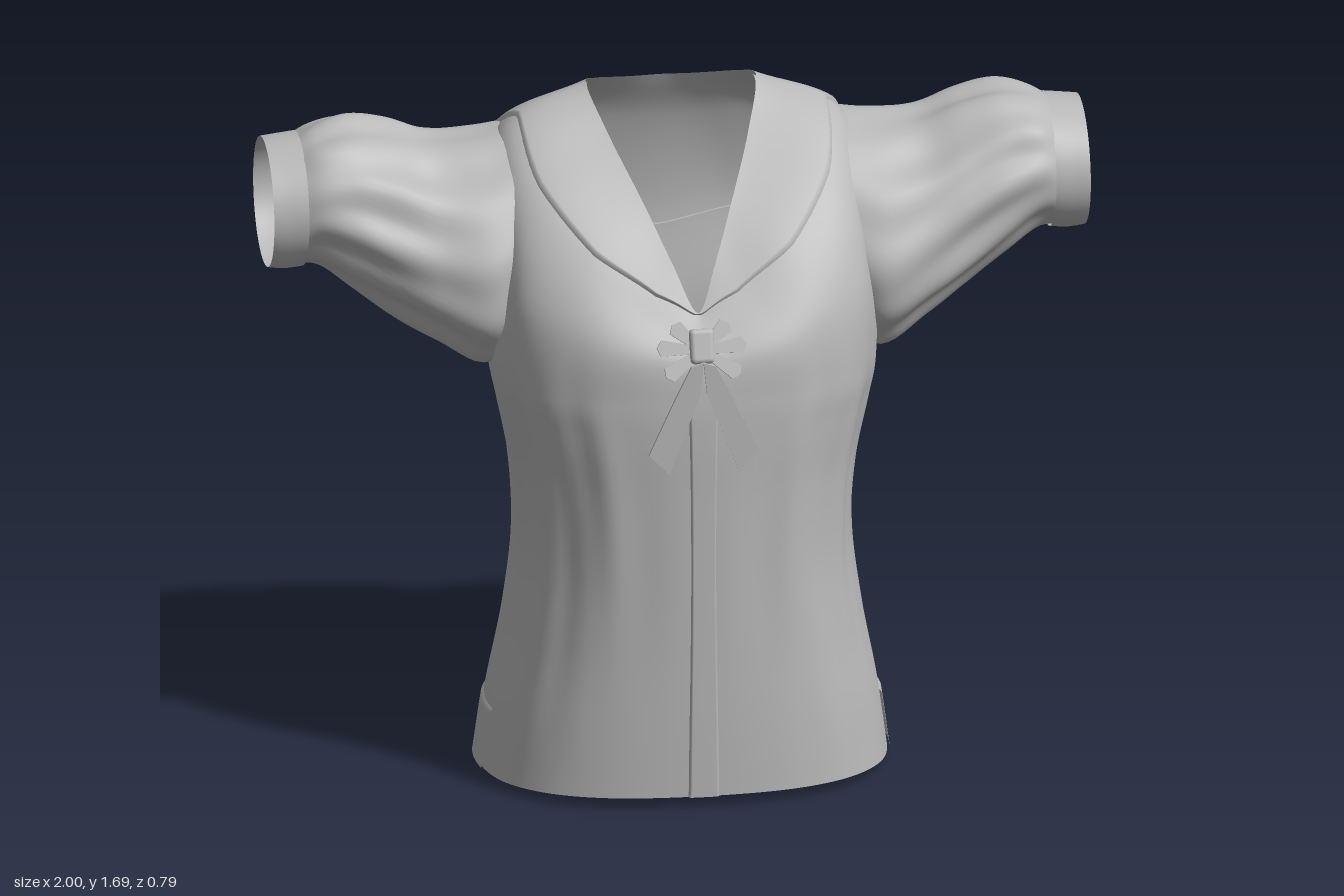
import * as THREE from 'three';
import { mergeVertices } from 'three/addons/utils/BufferGeometryUtils.js';
import { RoundedBoxGeometry } from 'three/addons/geometries/RoundedBoxGeometry.js';

const V = (x, y, z) => new THREE.Vector3(x, y, z);

// Smooth surface through closed rings of points: u runs round a ring, v from ring to ring
function loft(rings) {
  const curves = rings.map(r => new THREE.CatmullRomCurve3(r, true));
  const cache = new Map();
  return (u, v) => {
    const k = (((u % 1) + 1) % 1).toFixed(5);
    if (!cache.has(k)) cache.set(k, new THREE.CatmullRomCurve3(curves.map(c => c.getPoint(+k % 1))));
    return cache.get(k).getPoint(Math.min(1, Math.max(0, v)));
  };
}

// Mesh part of a lofted surface, pushed out along its normal
function patch(S, { u0 = 0, u1 = 1, v0 = () => 0, v1 = () => 1, nu, nv, offset = () => 0 }) {
  const pos = [], idx = [], e = 0.004;
  for (let j = 0; j <= nv; j++) for (let i = 0; i <= nu; i++) {
    const u = u0 + (u1 - u0) * i / nu, v = v0(u) + (v1(u) - v0(u)) * j / nv;
    const du = S(u + e, v).sub(S(u - e, v)), dv = S(u, v + e).sub(S(u, v - e));
    const p = S(u, v).addScaledVector(du.cross(dv).normalize(), offset(u, v));
    pos.push(p.x, p.y, p.z);
    if (i < nu && j < nv) {
      const a = j * (nu + 1) + i, b = a + 1, d = a + nu + 1, c = d + 1;
      idx.push(a, b, c, a, c, d);
    }
  }
  let g = new THREE.BufferGeometry();
  g.setAttribute('position', new THREE.Float32BufferAttribute(pos, 3));
  g.setIndex(idx);
  g = mergeVertices(g, 1e-5);
  g.computeVertexNormals();
  return g;
}

// Full ring from its left half, listed front centre to back centre
const mirrorRing = half => {
  const p = half.map(a => V(...a));
  return [...p, ...p.slice(1, -1).reverse().map(q => V(-q.x, q.y, q.z))];
};

function bodySurface() {
  // height, half width, front z, back z
  const lower = [
    [0.025, 0.5, 0.39, -0.365], [0.2, 0.475, 0.39, -0.33], [0.4, 0.435, 0.388, -0.31],
    [0.6, 0.41, 0.387, -0.315], [0.8, 0.42, 0.386, -0.33], [0.95, 0.45, 0.386, -0.345],
    [1.05, 0.47, 0.382, -0.355],
  ].map(([y, w, zf, zb], row) => mirrorRing(Array.from({ length: 9 }, (_, k) => {
    const a = k * Math.PI / 8, c = Math.cos(a), n = 2 / (c > 0 ? 2.5 : 2.2);
    const x = k % 8 ? w * Math.sin(a) ** n : 0;
    return [x, y + (row ? 0 : 0.015 * c), k === 4 ? 0 : (c > 0 ? zf : zb) * Math.abs(c) ** n];
  })));
  // chest, yoke and neckline
  const upper = [
    [[0, 1.15, 0.365], [0.19, 1.18, 0.35], [0.33, 1.24, 0.28], [0.43, 1.28, 0.18], [0.47, 1.3, -0.06],
      [0.455, 1.3, -0.28], [0.365, 1.3, -0.355], [0.19, 1.3, -0.385], [0, 1.3, -0.38]],
    [[0, 1.2, 0.33], [0.12, 1.27, 0.29], [0.25, 1.38, 0.22], [0.37, 1.5, 0.08], [0.42, 1.595, -0.12],
      [0.41, 1.53, -0.285], [0.29, 1.53, -0.335], [0.14, 1.53, -0.345], [0, 1.53, -0.345]],
    [[0, 1.25, 0.29], [0.055, 1.36, 0.22], [0.11, 1.48, 0.12], [0.17, 1.6, -0.02], [0.205, 1.69, -0.15],
      [0.17, 1.67, -0.23], [0.12, 1.655, -0.27], [0.06, 1.65, -0.285], [0, 1.65, -0.29]],
  ].map(mirrorRing);
  return loft([...lower, ...upper]);
}

// Sleeve rings: x, bottom, top, back z, front z, lean; the underarm is pinched and sits further forward
function tubeSurface(side, sections) {
  const n = 24;
  return loft(sections.map(([x, y0, y1, z0, z1, lean]) => Array.from({ length: n }, (_, k) => {
    const a = k / n * Math.PI * 2, s = -side * Math.sin(a);
    const pinch = s < 0 ? 1 - 3 * lean * s * s : 1;
    return V(side * x, (y0 + y1) / 2 + (y1 - y0) / 2 * s, (z0 + z1) / 2 + (z1 - z0) / 2 * Math.cos(a) * pinch - lean * s);
  })));
}

export function createModel() {
  const model = new THREE.Group();
  model.name = 'blouse';
  const cloth = new THREE.MeshStandardMaterial({ color: 0xb8b8b8, side: THREE.DoubleSide });
  cloth.name = 'grey cloth';
  const add = (name, geometry, parent = model) => {
    const m = new THREE.Mesh(geometry, cloth);
    m.name = name;
    parent.add(m);
    return m;
  };

  // Body with soft vertical folds
  const body = bodySurface();
  const folds = (u, v) => {
    const h = 1 - Math.abs(1 - 2 * u), swell = Math.sin(Math.PI * Math.min(1, v / 0.85)) ** 2;
    return 0.005 * swell * (Math.sin(h * 42 + v * 3) + 0.5 * Math.sin(h * 71 - v * 5)) * Math.min(1, Math.abs(h) * 6);
  };
  add('body', patch(body, { nu: 128, nv: 90, offset: folds }));

  // Wide collar, shallow at the front point and deep over the back, its edge turned in
  const depths = [0.002, 0.08, 0.105, 0.1, 0.085, 0.125, 0.195, 0.235, 0.25];
  const collarDepth = u => {
    const t = (1 - Math.abs(1 - 2 * u)) * 8, i = Math.min(7, Math.floor(t));
    return THREE.MathUtils.lerp(depths[i], depths[i + 1], THREE.MathUtils.smoothstep(t - i, 0, 1) * 0.4 + (t - i) * 0.6);
  };
  add('collar', patch(body, {
    nu: 112, nv: 24, v0: u => 1 - collarDepth(u),
    offset: (u, v) => folds(u, v) + (v < 1 - collarDepth(u) + 1e-6 ? -0.001 : 0.009),
  }));

  // Button placket and hem band
  add('placket', patch(body, {
    u0: -0.01, u1: 0.01, v1: () => 0.7, nu: 20, nv: 50, offset: u => Math.abs(u) > 0.0095 ? -0.001 : 0.007,
  }));
  add('hemBand', patch(body, {
    u0: 0.22, u1: 0.78, v1: () => 0.1, nu: 72, nv: 16, offset: (u, v) => folds(u, v) + (v > 0.0999 ? -0.001 : 0.006),
  }));

  // Puffed sleeves gathered into cuffs
  for (const side of [1, -1]) {
    const sleeve = new THREE.Group();
    sleeve.name = side > 0 ? 'leftSleeve' : 'rightSleeve';
    model.add(sleeve);
    const puff = tubeSurface(side, [
      [0.38, 1.12, 1.6, -0.32, 0.12, 0.06], [0.48, 1.045, 1.585, -0.335, 0.155, 0.07],
      [0.6, 1.11, 1.585, -0.33, 0.125, 0.06], [0.7, 1.17, 1.62, -0.325, 0.1, 0.04],
      [0.8, 1.24, 1.64, -0.32, 0.08, 0.02], [0.88, 1.29, 1.625, -0.31, 0.06, 0],
      [0.935, 1.29, 1.595, -0.3, 0.04, 0],
    ]);
    add('puff', patch(puff, {
      nu: 96, nv: 40,
      offset: (u, v) => Math.sin(Math.PI * v) * (0.007 * Math.sin(u * Math.PI * 22 + v * 4) + 0.004 * Math.sin(u * Math.PI * 14 - v * 6)),
    }), sleeve);
    const cuff = tubeSurface(side, [
      [0.915, 1.285, 1.61, -0.308, 0.05, 0], [0.96, 1.28, 1.605, -0.306, 0.046, 0], [1, 1.285, 1.6, -0.304, 0.044, 0],
    ]);
    add('cuff', patch(cuff, { nu: 48, nv: 4 }), sleeve);
  }

  // Bow at the point of the neckline
  const bow = new THREE.Group();
  bow.name = 'bow';
  model.add(bow);
  const plate = pts => new THREE.ExtrudeGeometry(
    new THREE.Shape(pts.map(p => new THREE.Vector2(...p))), { depth: 0.008, bevelEnabled: false });
  for (const s of [1, -1]) {
    const flip = pts => pts.map(([x, y]) => [s * x, y]);
    const tail = add('tail', plate(flip([[0, 0.02], [0.03, 0.01], [0.07, -0.07], [0.135, -0.21], [0.085, -0.26], [0.008, -0.06]])), bow);
    tail.position.set(0, 1.14, 0.381);
    tail.rotation.x = -0.03;
    // small pleats fanning out from the knot
    for (const [angle, length] of [[0.75, 0.085], [0.1, 0.1], [-0.6, 0.1]]) {
      const pleat = add('pleat', plate(flip([[0, 0.008], [length, 0.02], [length + 0.01, 0], [length, -0.02], [0, -0.008]])), bow);
      pleat.position.set(0, 1.18, 0.352);
      pleat.rotation.set(-0.4, 0, s * angle);
    }
  }
  const knot = add('knot', new RoundedBoxGeometry(0.06, 0.085, 0.04, 3, 0.012), bow);
  knot.position.set(0, 1.19, 0.35);
  knot.rotation.x = -0.35;
  return model;
}
